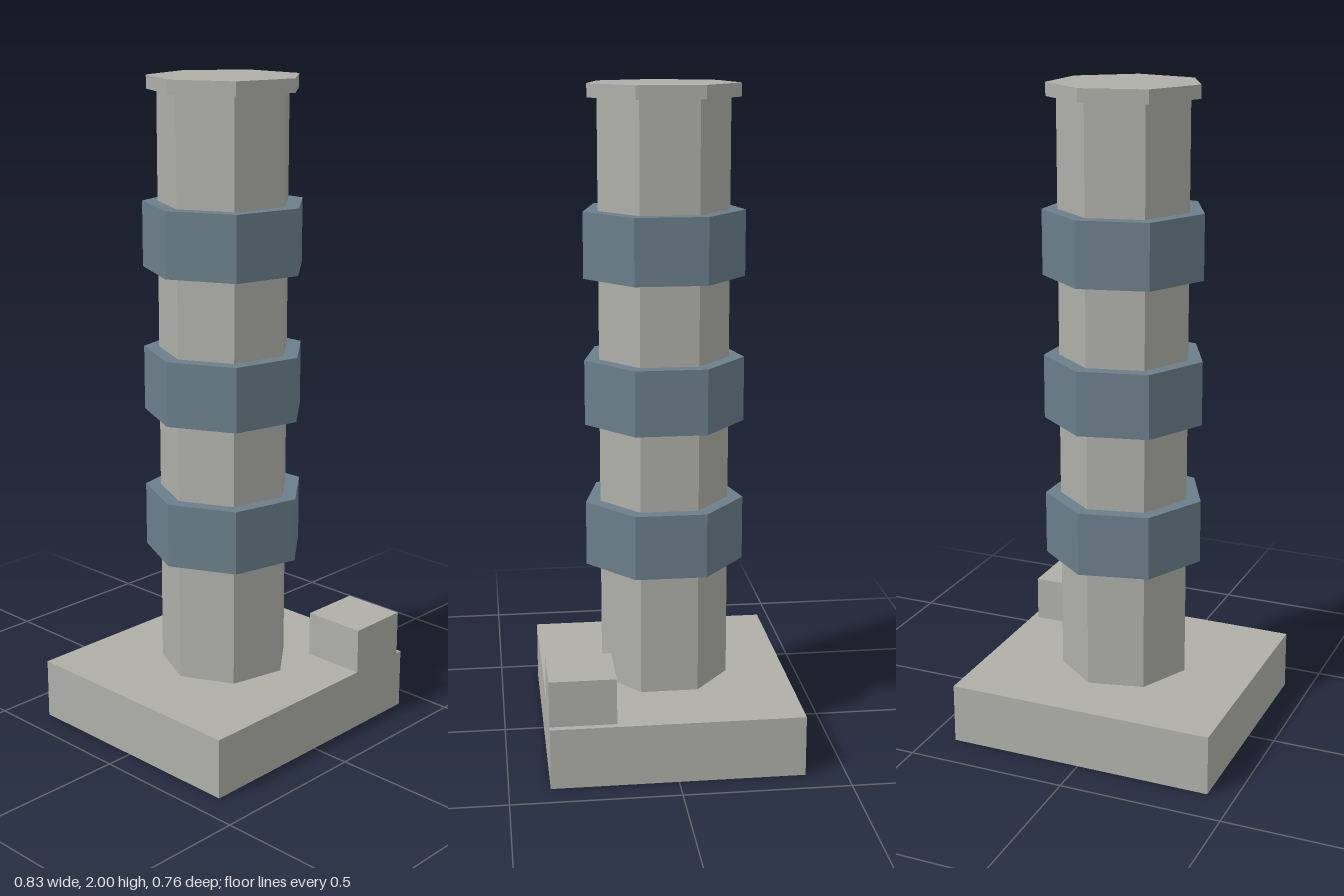
import * as THREE from 'three';

export function createModel() {
  const group = new THREE.Group();
  const stone = new THREE.MeshStandardMaterial({ color: 0xafafa8 });
  stone.name = 'grey stone';
  const blue = new THREE.MeshStandardMaterial({ color: 0x6b7e8a });
  blue.name = 'slate blue';
  stone.flatShading = blue.flatShading = true;

  const add = (name, geometry, material, x, y, z) => {
    const mesh = new THREE.Mesh(geometry, material);
    mesh.name = name;
    mesh.position.set(x, y, z);
    group.add(mesh);
  };

  // Seven-sided prism with one corner pointing to -x
  const prism = (name, radius, bottom, top, material) => add(
    name,
    new THREE.CylinderGeometry(radius, radius, top - bottom, 7, 1, false, -Math.PI / 2),
    material, 0, (bottom + top) / 2, 0,
  );

  // Plinth and the small block on its front left corner
  add('base', new THREE.BoxGeometry(0.834, 0.185, 0.756), stone, 0, 0.0925, 0);
  add('cornerBlock', new THREE.BoxGeometry(0.197, 0.14, 0.198), stone, 0.298, 0.255, 0.279);

  // Tower shaft and cap
  prism('shaft', 0.2, 0.185, 1.96, stone);
  prism('cap', 0.23, 1.96, 2, stone);

  // Three wide bands around the shaft
  [0.66, 1.098, 1.538].forEach((y, i) => {
    prism(`band${i + 1}`, 0.246, y - 0.098, y + 0.098, blue);
  });

  return group;
}
